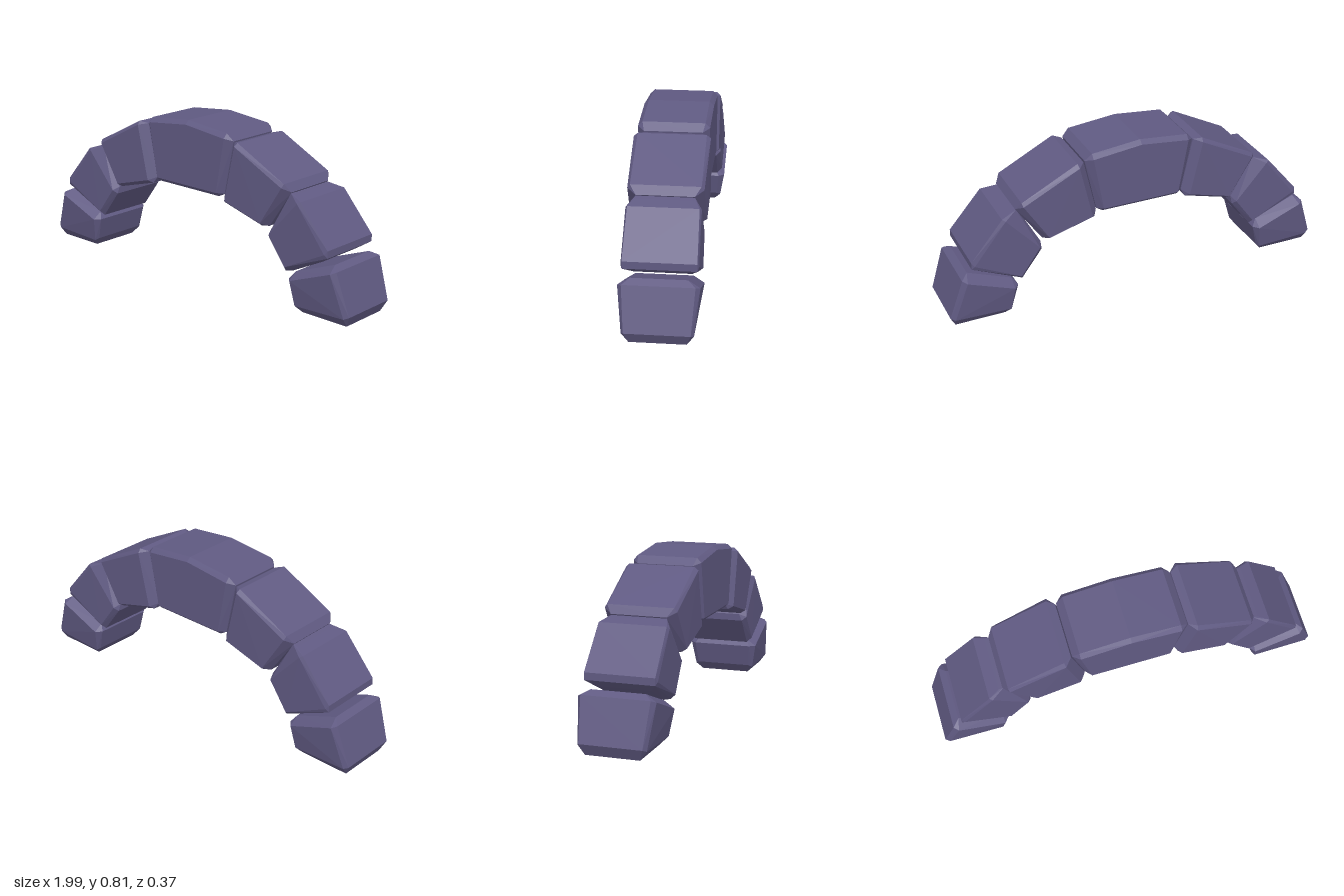
import * as THREE from 'three';
import { ConvexGeometry } from 'three/addons/geometries/ConvexGeometry.js';

// Each block: corner points [x, y, half depth]; hulls of the mirrored points give chamfered stones.
const keystoneHalf = [
  // rim
  [0, 0.81, 0.15], [0.25, 0.785, 0.15], [0.285, 0.75, 0.14], [0.228, 0.48, 0.14], [0.2, 0.465, 0.15], [0, 0.47, 0.15],
  // face
  [0, 0.79, 0.172], [0.25, 0.762, 0.172], [0.2, 0.485, 0.172], [0, 0.485, 0.172],
];

const sideBlocks = {
  upperBlock: [
    [0.33, 0.755, 0.163], [0.615, 0.61, 0.163], [0.64, 0.57, 0.135], [0.51, 0.38, 0.135],
    [0.48, 0.38, 0.155], [0.245, 0.445, 0.155], [0.23, 0.475, 0.14], [0.29, 0.745, 0.14],
    // face
    [0.325, 0.738, 0.182], [0.61, 0.592, 0.176], [0.487, 0.397, 0.18], [0.262, 0.46, 0.18],
  ],
  middleBlock: [
    [0.715, 0.545, 0.163], [0.88, 0.35, 0.168], [0.88, 0.315, 0.168], [0.82, 0.275, 0.125],
    [0.65, 0.19, 0.125], [0.625, 0.19, 0.15], [0.52, 0.33, 0.15], [0.52, 0.365, 0.135],
    [0.635, 0.565, 0.135], [0.66, 0.56, 0.135],
    // face
    [0.7, 0.535, 0.172], [0.865, 0.33, 0.175], [0.635, 0.215, 0.175], [0.535, 0.35, 0.172],
  ],
  baseBlock: [
    [0.895, 0.28, 0.13], [0.93, 0.26, 0.165], [0.997, 0.055, 0.15], [0.97, 0, 0.13],
    [0.715, 0, 0.13], [0.68, 0.045, 0.145], [0.65, 0.16, 0.155], [0.675, 0.195, 0.135],
    // face
    [0.675, 0.16, 0.185], [0.908, 0.25, 0.185], [0.975, 0.045, 0.163], [0.692, 0.035, 0.163],
  ],
};

export function createModel() {
  const arch = new THREE.Group();
  arch.name = 'stoneArch';
  const stone = new THREE.MeshStandardMaterial({ color: 0x605a82 });
  stone.name = 'purple stone';

  const addBlock = (name, corners, signs) => {
    const points = [];
    for (const sx of signs) {
      for (const [x, y, d] of corners) {
        for (const sz of [1, -1]) points.push(new THREE.Vector3(sx * x, y, sz * d - 0.002));
      }
    }
    const block = new THREE.Mesh(new ConvexGeometry(points), stone);
    block.name = name;
    arch.add(block);
  };

  addBlock('keystone', keystoneHalf, [1, -1]);
  for (const [name, corners] of Object.entries(sideBlocks)) {
    addBlock(name + 'Left', corners, [1]);
    addBlock(name + 'Right', corners, [-1]);
  }
  return arch;
}
